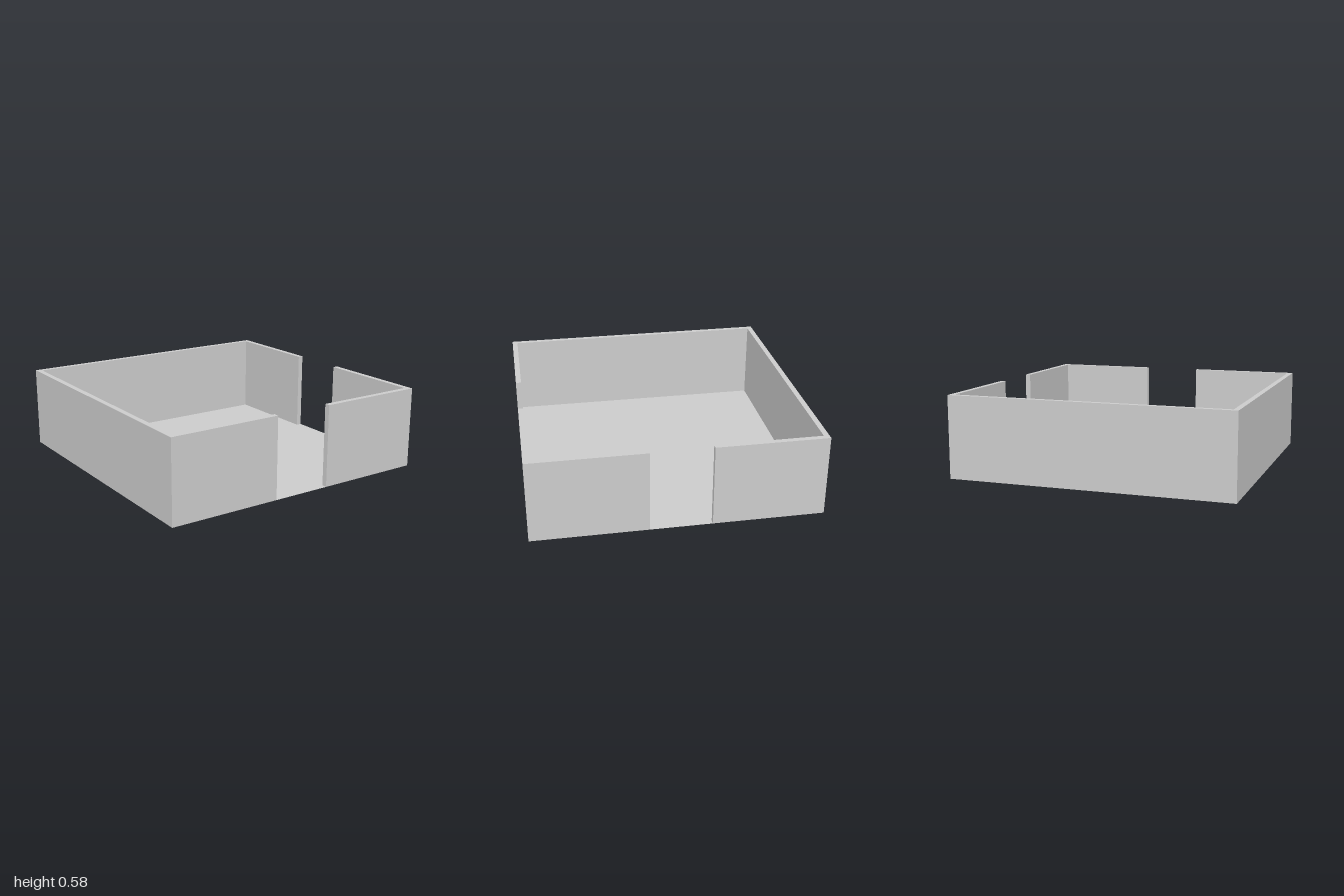
import * as THREE from 'three';

const OUT = 1, IN = 0.962, HEIGHT = 0.58;
const DOOR_A = -0.2, DOOR_B = 0.226; // doorway limits along each wall

// Plan outline given as [x, z]; rotating by -90 degrees about x lays it flat.
const plan = (points) => new THREE.Shape(points.map(([x, z]) => new THREE.Vector2(x, -z)));

// Upright walls with a top rim, open underneath.
function wallGeometry(points) {
  const solid = new THREE.ExtrudeGeometry(plan(points), { depth: HEIGHT, bevelEnabled: false });
  solid.rotateX(-Math.PI / 2);
  const pos = solid.attributes.position, normal = solid.attributes.normal;
  const kept = [];
  for (let i = 0; i < pos.count; i += 3) {
    if (normal.getY(i) < -0.5) continue; // leave out the underside
    for (let k = i; k < i + 3; k++) kept.push(pos.getX(k), pos.getY(k), pos.getZ(k));
  }
  const geometry = new THREE.BufferGeometry();
  geometry.setAttribute('position', new THREE.Float32BufferAttribute(kept, 3));
  geometry.computeVertexNormals();
  return geometry;
}

export function createModel() {
  const group = new THREE.Group();
  group.name = 'walledRoom';
  const material = new THREE.MeshStandardMaterial({ color: 0xcccccc, side: THREE.DoubleSide });
  const add = (name, geometry) => {
    const mesh = new THREE.Mesh(geometry, material);
    mesh.name = name;
    group.add(mesh);
  };

  // Long wall: from the front doorway round the -x side and back to the side doorway
  add('mainWall', wallGeometry([
    [DOOR_A, OUT], [-OUT, OUT], [-OUT, -OUT], [OUT, -OUT], [OUT, -DOOR_B],
    [IN, -DOOR_B], [IN, -IN], [-IN, -IN], [-IN, IN], [DOOR_A, IN],
  ]));

  // Short L-shaped wall at the corner between the two doorways
  add('cornerWall', wallGeometry([
    [DOOR_B, OUT], [OUT, OUT], [OUT, -DOOR_A],
    [IN, -DOOR_A], [IN, IN], [DOOR_B, IN],
  ]));

  // Thin floor inside the walls, reaching out through both doorways
  const floor = new THREE.ShapeGeometry(plan([
    [-IN, IN], [DOOR_A, IN], [DOOR_A, OUT], [DOOR_B, OUT], [DOOR_B, IN], [IN, IN],
    [IN, -DOOR_A], [OUT, -DOOR_A], [OUT, -DOOR_B], [IN, -DOOR_B], [IN, -IN], [-IN, -IN],
  ]));
  add('floor', floor.rotateX(-Math.PI / 2));

  return group;
}
